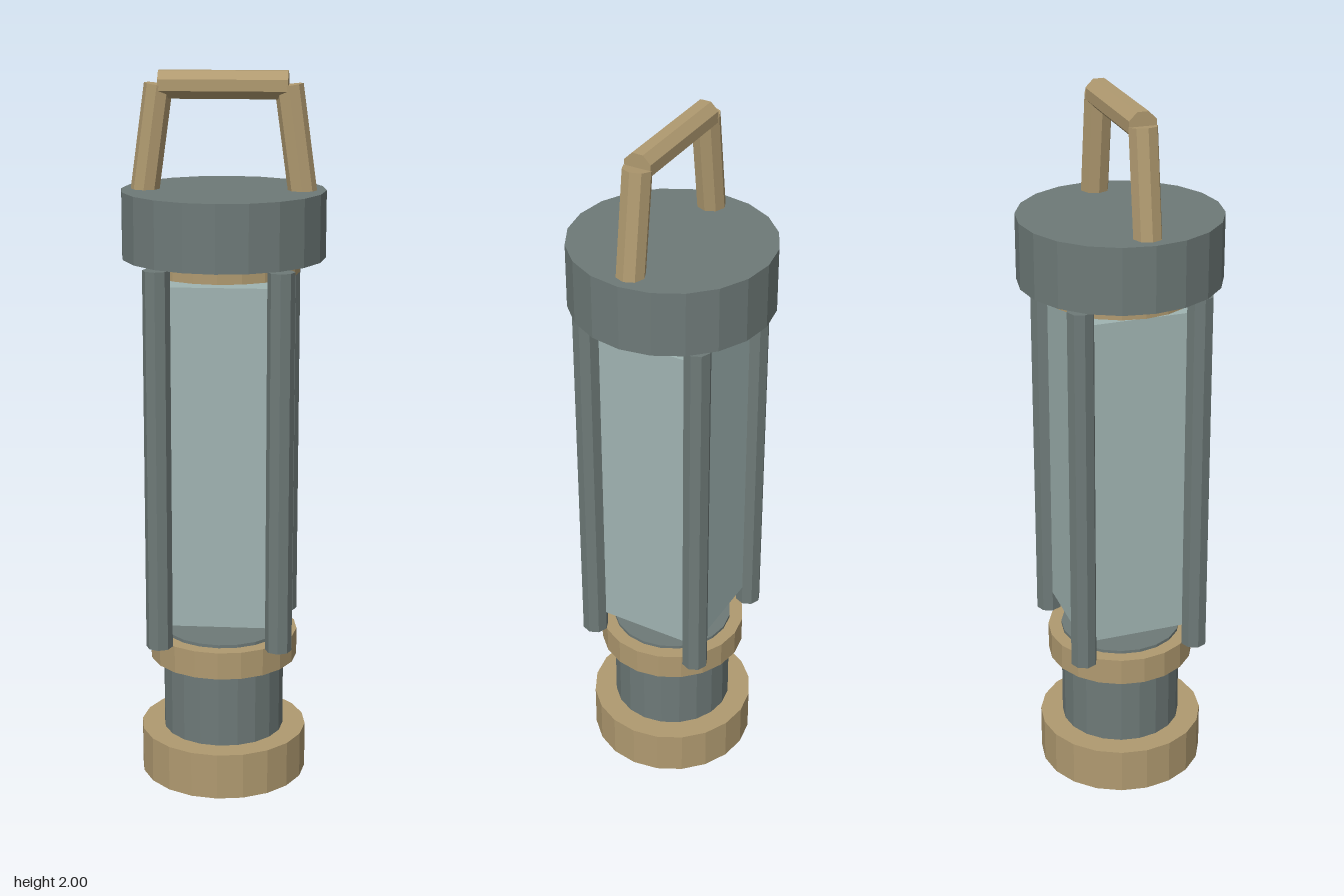
import * as THREE from 'three';

export function createModel() {
  const model = new THREE.Group();
  model.name = 'lantern';

  const make = (name, color) => {
    const m = new THREE.MeshStandardMaterial({ color, flatShading: true });
    m.name = name;
    return m;
  };
  const brass = make('brass', 0xb09a70);
  const metal = make('greyMetal', 0x6e7a78);
  const glass = make('paleGlass', 0xa0b4b2);

  const add = (name, geometry, material) => {
    const mesh = new THREE.Mesh(geometry, material);
    mesh.name = name;
    model.add(mesh);
    return mesh;
  };
  // Upright drum between two heights
  const drum = (name, r, y0, y1, sides, material, x = 0, z = 0) =>
    add(name, new THREE.CylinderGeometry(r, r, y1 - y0, sides), material)
      .position.set(x, (y0 + y1) / 2, z);
  // Eight-sided rod between two points
  const rod = (name, a, b, r, material, turn = 0) => {
    const dir = b.clone().sub(a);
    const geometry = new THREE.CylinderGeometry(r, r, dir.length(), 8).rotateY(turn);
    const mesh = add(name, geometry, material);
    mesh.position.copy(a).add(b).multiplyScalar(0.5);
    mesh.quaternion.setFromUnitVectors(new THREE.Vector3(0, 1, 0), dir.normalize());
  };

  // Base, neck and collars
  drum('base', 0.237, 0, 0.132, 20, brass);
  drum('neck', 0.172, 0.132, 0.437, 20, metal);
  drum('lowerCollar', 0.21, 0.35, 0.428, 20, brass);
  drum('upperCollar', 0.208, 1.463, 1.505, 20, brass);
  drum('cap', 0.278, 1.503, 1.685, 20, metal);

  // Square glass chamber
  add('glassChamber', new THREE.BoxGeometry(0.332, 0.957, 0.332), glass)
    .position.y = 0.968;

  // Corner posts
  for (const x of [-1, 1]) for (const z of [-1, 1])
    drum('cornerPost', 0.037, 0.427, 1.492, 8, metal, x * 0.166, z * 0.166);

  // Carrying handle
  for (const s of [-1, 1])
    rod('handleLeg', new THREE.Vector3(s * 0.213, 1.68, 0),
      new THREE.Vector3(s * 0.174, 1.963, 0), 0.039, brass);
  rod('handleGrip', new THREE.Vector3(-0.173, 1.963, 0),
    new THREE.Vector3(0.173, 1.963, 0), 0.04, brass, Math.PI / 8);

  return model;
}
